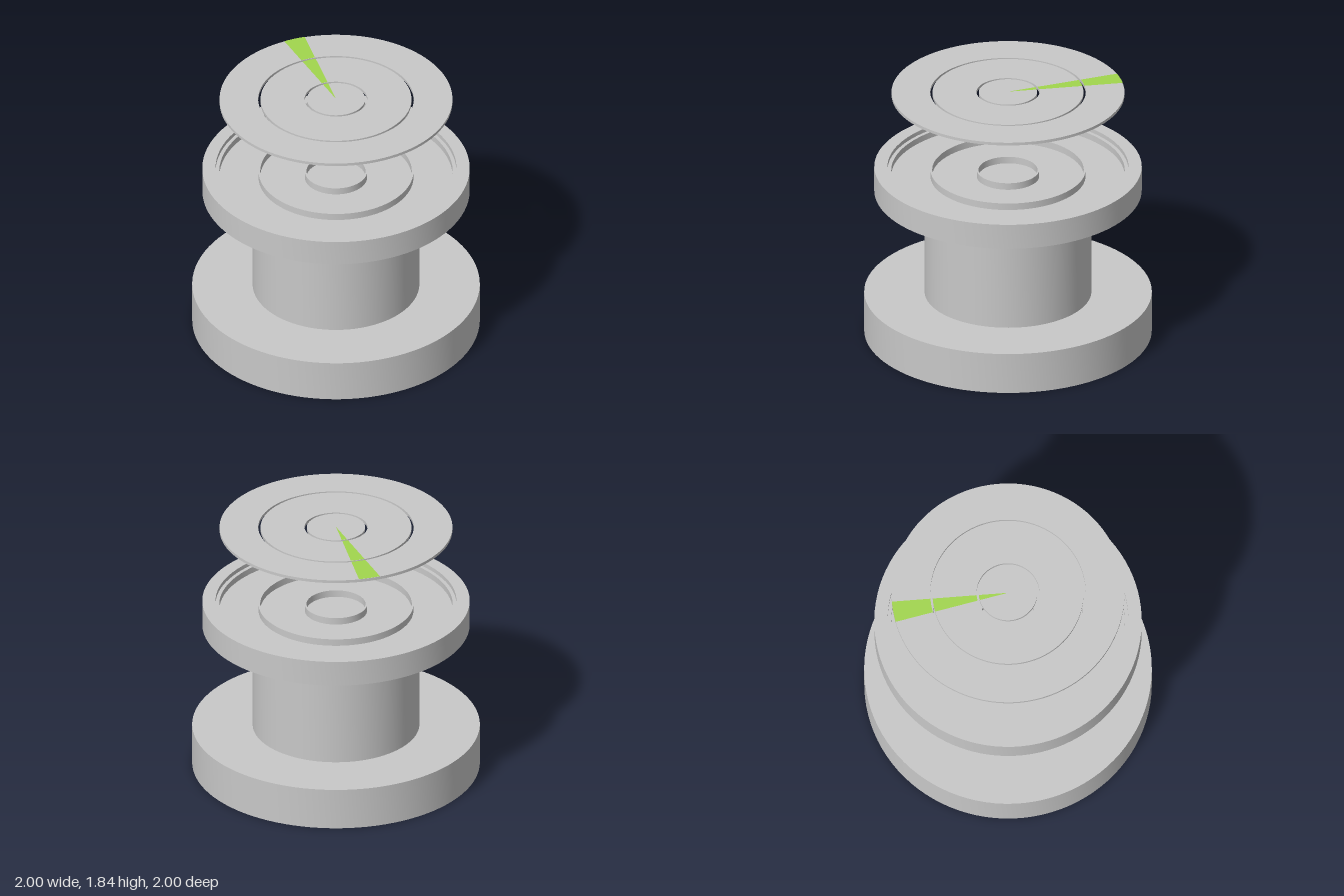
import * as THREE from 'three';
import { toCreasedNormals } from 'three/addons/utils/BufferGeometryUtils.js';

const SEGMENTS = 96;

export function createModel() {
  const model = new THREE.Group();
  model.name = 'turntableStand';
  const grey = new THREE.MeshStandardMaterial({ color: 0xc8c8c8 });
  grey.name = 'grey';
  const green = new THREE.MeshStandardMaterial({ color: 0xa2d64e });
  green.name = 'green';

  function add(name, geometry, material, parent = model) {
    const mesh = new THREE.Mesh(geometry, material);
    mesh.name = name;
    parent.add(mesh);
    return mesh;
  }

  // Turned solid with sharp edges; profile runs bottom, outside, top, inside
  function turned(name, profile, parent = model) {
    const points = profile.map(([r, y]) => new THREE.Vector2(r, y));
    const geometry = toCreasedNormals(new THREE.LatheGeometry(points, SEGMENTS), 0.6);
    return add(name, geometry, grey, parent);
  }

  // Rectangular-section ring
  const ring = (name, inner, outer, bottom, top, parent) => turned(name, [
    [inner, bottom], [outer, bottom], [outer, top], [inner, top], [inner, bottom],
  ], parent);

  // Base and column
  turned('base', [[0, 0], [1, 0], [1, 0.3], [0, 0.3]]);
  turned('column', [[0.58, 0.3], [0.58, 1.08]]);

  // Tray with a stepped rim and a recessed floor
  turned('tray', [
    [0, 1.08], [0.93, 1.08], [0.93, 1.265], [0.838, 1.265],
    [0.838, 1.235], [0.812, 1.235], [0.812, 1.19], [0, 1.19],
  ]);

  // Raised locating rings on the tray floor
  ring('innerTrayRing', 0.205, 0.217, 1.19, 1.24);
  ring('outerTrayRing', 0.527, 0.539, 1.19, 1.24);

  // Floating disc in three concentric pieces, each carrying part of the green wedge
  const disc = new THREE.Group();
  disc.name = 'floatingDisc';
  model.add(disc);
  const bottom = 1.82, top = 1.841, halfAngle = 0.094;
  const pieces = [['Centre', 0, 0.203], ['Middle', 0.219, 0.525], ['Outer', 0.541, 0.81]];
  for (const [label, inner, outer] of pieces) {
    if (inner === 0) {
      turned('disc' + label, [[0, bottom], [outer, bottom], [outer, top], [0, top]], disc);
    } else {
      ring('disc' + label, inner, outer, bottom, top, disc);
    }
    const wedge = new THREE.RingGeometry(inner, outer, 8, 1, Math.PI / 2 - halfAngle, halfAngle * 2);
    wedge.rotateX(-Math.PI / 2);
    add('wedge' + label, wedge, green, disc).position.y = top + 0.002;
  }

  return model;
}
